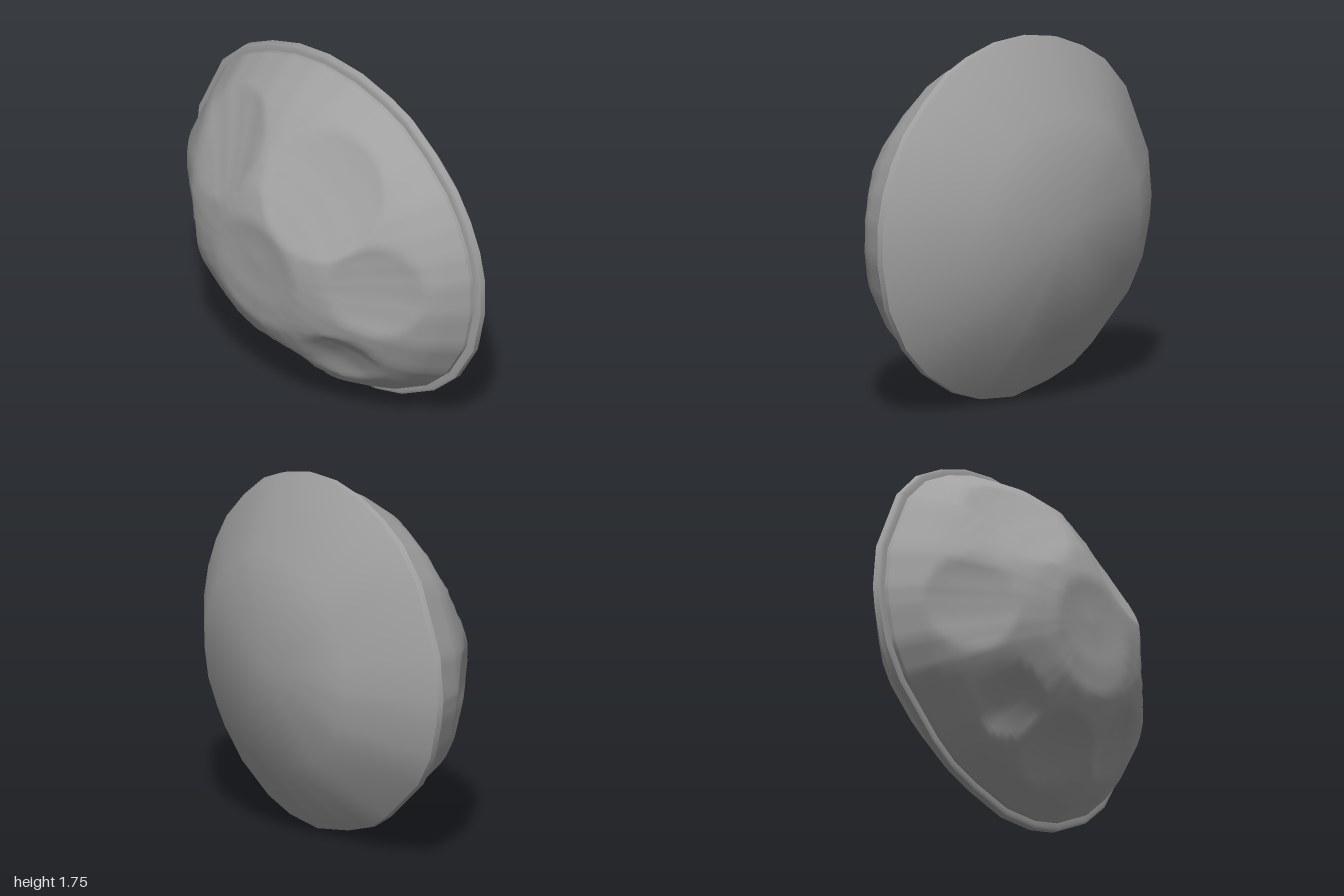
import * as THREE from 'three';

const CY = 0.87; // height of the centre axis

// Hand-cut outline of the rim, clockwise seen from the front
const OUTLINE = [
  [-0.09, 1.755], [0.14, 1.75], [0.345, 1.705], [0.49, 1.65], [0.66, 1.53], [0.81, 1.39], [0.9, 1.255],
  [0.965, 1.11], [1, 0.96], [1, 0.775], [0.95, 0.55], [0.825, 0.34], [0.675, 0.2], [0.45, 0.075],
  [0.265, 0.02], [0.03, 0], [-0.23, 0.045], [-0.415, 0.1], [-0.555, 0.18], [-0.83, 0.4], [-0.935, 0.555],
  [-0.985, 0.73], [-1, 0.845], [-0.975, 1.065], [-0.81, 1.405], [-0.655, 1.56], [-0.49, 1.65], [-0.3, 1.72],
].reverse();

// Dome profile: fraction of the outline, depth
const PROFILE = [[0, 0.485], [0.27, 0.47], [0.45, 0.425], [0.6, 0.355], [0.75, 0.25], [0.88, 0.13], [0.96, 0.02], [1, -0.09]];

// Shallow scoops in the dome: x, y, radius, depth
const SCOOPS = [
  [0, 0.8, 0.29, 0.03], [0.66, 0.9, 0.25, 0.05], [-0.7, 0.78, 0.24, 0.05], [-0.37, 0.34, 0.18, 0.05],
  [0.42, 0.42, 0.2, 0.05], [0.01, 0.24, 0.21, 0.055], [0.31, 1.33, 0.33, 0.07], [-0.38, 1.32, 0.29, 0.055],
];

function domeHeight(s) {
  let i = 1;
  while (i < PROFILE.length - 1 && PROFILE[i][0] < s) i++;
  const [s0, z0] = PROFILE[i - 1], [s1, z1] = PROFILE[i];
  const t = Math.min(1, (s - s0) / (s1 - s0));
  return z0 + (z1 - z0) * t;
}

// Splits each outline edge into n straight pieces, relative to the centre
function subdivide(n) {
  const out = [];
  OUTLINE.forEach(([x, y], i) => {
    const [x2, y2] = OUTLINE[(i + 1) % OUTLINE.length];
    for (let k = 0; k < n; k++) out.push([x + (x2 - x) * k / n, y + (y2 - y) * k / n - CY]);
  });
  return out;
}

// Skins rings ordered from the front to the back; each ring is [scale, z]
function loft(rings, n, deform) {
  const pts = subdivide(n), m = pts.length, pos = [], idx = [];
  for (const [s, z] of rings) {
    for (const [x, y] of pts) {
      const p = new THREE.Vector3(x * s, CY + y * s, z);
      if (deform) deform(p);
      pos.push(p.x, p.y, p.z);
    }
  }
  for (let r = 0; r < rings.length - 1; r++) {
    for (let i = 0; i < m; i++) {
      const j = (i + 1) % m, a = r * m + i, b = r * m + j, c = a + m, d = b + m;
      if (rings[r + 1][0] > 0) idx.push(a, c, d);
      if (rings[r][0] > 0) idx.push(a, d, b);
    }
  }
  const g = new THREE.BufferGeometry();
  g.setAttribute('position', new THREE.Float32BufferAttribute(pos, 3));
  g.setIndex(idx);
  g.computeVertexNormals();
  // Share one normal at a pole
  const nor = g.attributes.normal;
  rings.forEach(([s], r) => {
    if (s === 0) for (let i = 0; i < m; i++) nor.setXYZ(r * m + i, 0, 0, r === 0 ? 1 : -1);
  });
  return g;
}

export function createModel() {
  const group = new THREE.Group();
  const grey = new THREE.MeshStandardMaterial({ color: 0xa0a0a0 });
  grey.name = 'grey';
  const add = (name, geometry) => {
    const mesh = new THREE.Mesh(geometry, grey);
    mesh.name = name;
    group.add(mesh);
  };

  // Scooped front dome
  const scoops = SCOOPS.map(([x, y, radius, depth]) => {
    const z = domeHeight(Math.hypot(x / 0.96, (y - CY) / 0.84));
    return {
      centre: new THREE.Vector3(x, y, z), radius, depth,
      normal: new THREE.Vector3(x / 0.92, (y - CY) / 0.7, (z + 0.12) / 0.36).normalize(),
    };
  });
  const carve = (p) => {
    const base = p.clone();
    for (const { centre, radius, depth, normal } of scoops) {
      const d = base.distanceTo(centre) / radius;
      if (d < 1) p.addScaledVector(normal, -depth * (1 - d * d));
    }
  };
  const domeRings = [];
  for (let i = 0; i <= 44; i++) {
    const s = Math.sin(i / 44 * Math.PI / 2);
    // Blend neighbouring heights to round the profile
    const z = i === 44 ? -0.09 : (domeHeight(Math.max(0, s - 0.04)) + 2 * domeHeight(s) + domeHeight(Math.min(1, s + 0.04))) / 4;
    domeRings.push([s * 0.96, z]);
  }
  add('dome', loft(domeRings, 4, carve));

  // Thin rim: front lip and outer band
  add('rimLip', loft([[0.95, -0.08], [0.985, -0.08], [1, -0.088]], 1));
  add('rimBand', loft([[1, -0.088], [1, -0.12]], 1));

  // Faceted back, smoothly shaded
  add('back', loft([[1, -0.12], [0.6, -0.39], [0, -0.465]], 1));

  return group;
}
